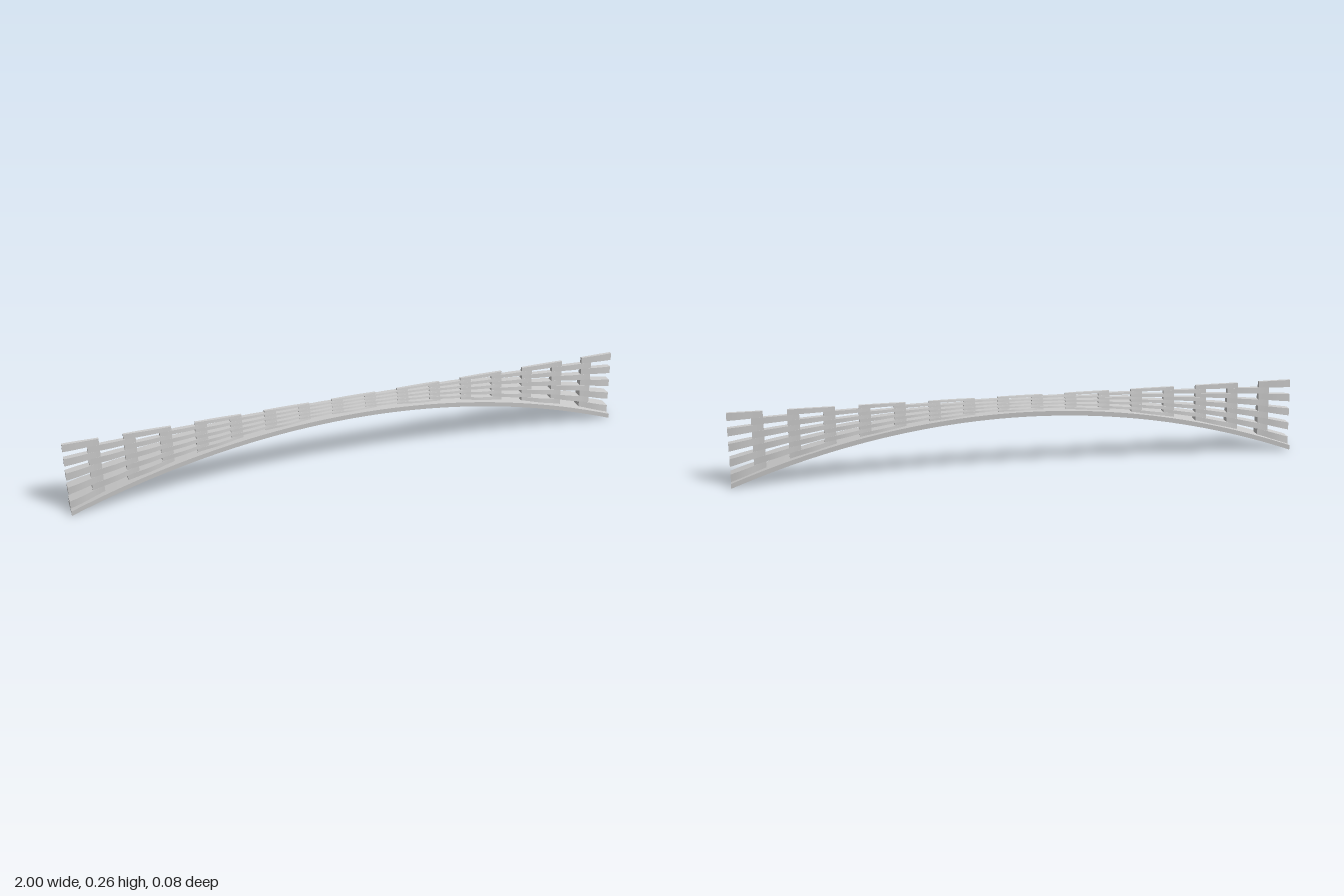
import * as THREE from 'three';
import { mergeGeometries, toCreasedNormals } from 'three/addons/utils/BufferGeometryUtils.js';

const ROWS = 9, PITCH = 0.24, HOLE = 0.04, TOP = 0.256;
const archBottom = x => 0.19 * (1 - x * x);
const archTop = x => archBottom(x) + 0.017;

// Solid swept along x from a four-cornered section [y, z] at each station
function loft(x0, x1, steps, section) {
  const pos = [], index = [];
  for (let i = 0; i <= steps; i++) {
    const x = x0 + (x1 - x0) * i / steps;
    for (const [y, z] of section(x)) pos.push(x, y, z);
  }
  for (let i = 0; i < steps; i++) {
    for (let j = 0; j < 4; j++) {
      const a = i * 4 + j, b = i * 4 + (j + 1) % 4;
      index.push(a, b, a + 4, b, b + 4, a + 4);
    }
  }
  const e = steps * 4;
  index.push(0, 2, 1, 0, 3, 2, e, e + 1, e + 2, e, e + 2, e + 3);
  const g = new THREE.BufferGeometry();
  g.setAttribute('position', new THREE.Float32BufferAttribute(pos, 3));
  g.setIndex(index);
  return toCreasedNormals(g, 0.6);
}

// Corners run bottom front, bottom back, top back, top front
const section = (y0, y1, w0, w1) => [[y0, w0], [y0, -w0], [y1, -w1], [y1, w1]];

export function createModel() {
  const model = new THREE.Group();
  const material = new THREE.MeshStandardMaterial({ color: 0xcccccc });
  const add = (name, geometry) => {
    const mesh = new THREE.Mesh(geometry, material);
    mesh.name = name;
    model.add(mesh);
  };

  // Curved plate under the wall
  add('archPlate', loft(-1, 1, 48, x => section(archBottom(x), archTop(x), 0.04, 0.04)));

  // Staggered courses, squeezed between the arch and the level top
  for (let r = 0; r < ROWS; r++) {
    const blocks = [];
    const shift = r % 2 ? 0.5 : 0;
    for (let k = -5; k <= 5; k++) {
      const mid = (k + shift) * PITCH;
      const half = PITCH / 2 - HOLE;
      const x0 = Math.max(-1, mid - half), x1 = Math.min(1, mid + half);
      if (x1 - x0 < 0.01) continue;
      const height = (x, f) => archTop(x) + (TOP - archTop(x)) * f;
      // Wall tapers upward; each block bulges gently in its middle
      const width = (x, f) => (0.021 - 0.016 * f)
        * (1 + 0.14 * Math.cos((x - mid) / half * Math.PI));
      const f0 = r / ROWS, f1 = (r + 1) / ROWS;
      blocks.push(loft(x0, x1, 10, x =>
        section(height(x, f0), height(x, f1), width(x, f0), width(x, f1))));
    }
    add('latticeCourse' + (r + 1), mergeGeometries(blocks));
  }
  return model;
}
